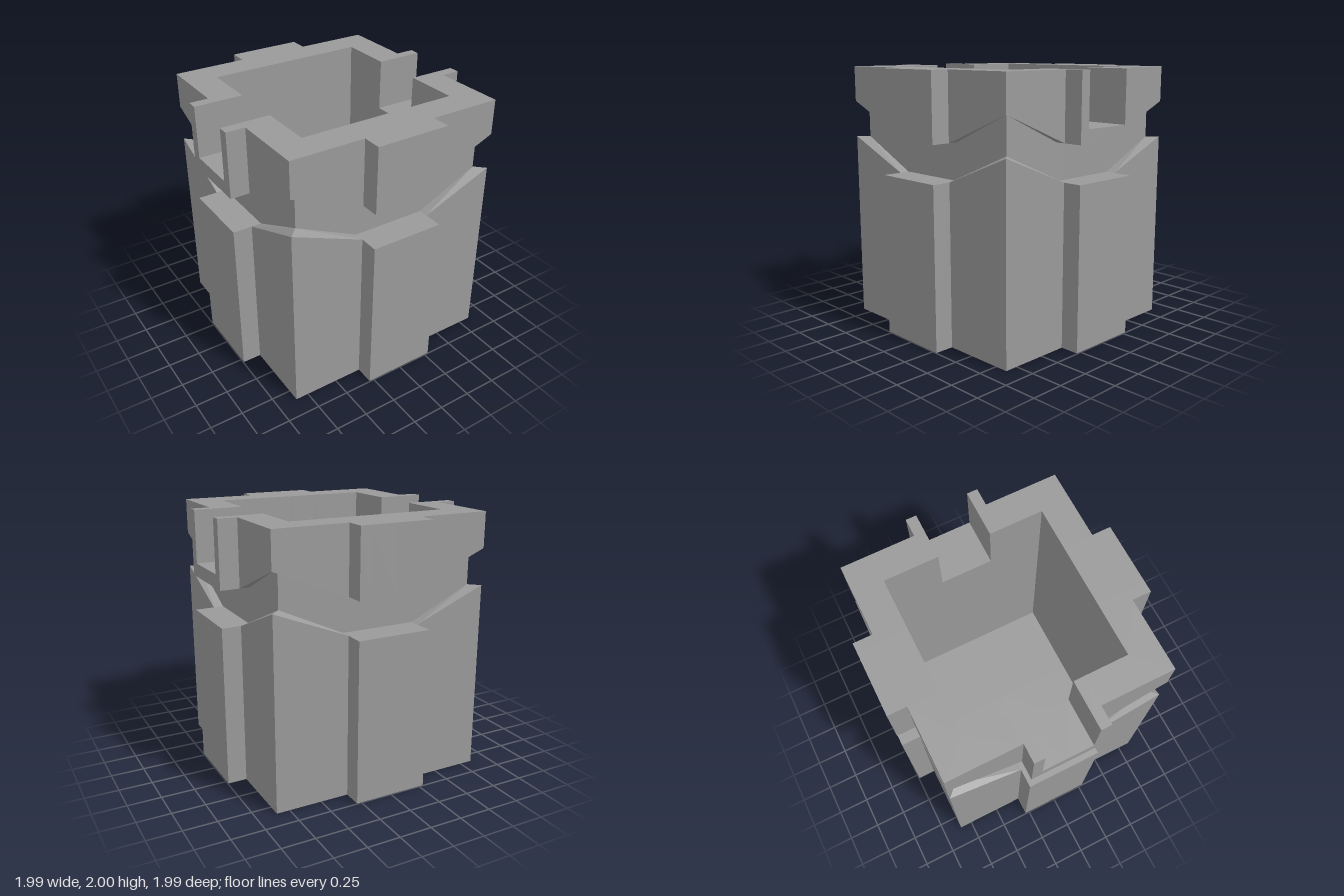
import * as THREE from 'three';

const P = 0.995;          // outer face of the ribs
const W = 0.85;           // main wall
const C = 0.775;          // recessed neck
const I = 0.62;           // cavity wall
const A = 0.285;          // rib half width
const N = 0.203;          // notch half width
const L = 1.222, LC = 1.45;   // lower body top: at ribs, at corners
const U = 1.497, UC = 1.73;   // collar underside: at ribs, at corners
const T = 2, F = 0.23;        // rim height, cavity floor

// Each function lists the faces of half a side (x >= 0, facing +z); h is the notch floor height.
const parts = {
  lowerBody: () => [
    [[0, 0, P], [A, 0, P], [A, L, P], [0, L, P]],        // rib front
    [[A, 0, P], [A, 0, W], [A, L, W], [A, L, P]],        // rib flank
    [[A, 0, W], [W, 0, W], [W, LC, W], [A, L, W]],       // wall
    [[0, L, P], [A, L, P], [A, L, C], [0, L, C]],        // ledge over the rib
    [[A, L, W], [W, LC, W], [C, LC, C], [A, L, C]],      // rising ledge
    [[0, 0, 0], [W, 0, W], [0, 0, W]],                   // base
    [[0, 0, W], [A, 0, W], [A, 0, P], [0, 0, P]],
  ],
  neck: () => [
    [[0, L, C], [A, L, C], [A, U, C], [0, U, C]],
    [[A, L, C], [C, LC, C], [C, UC, C], [A, U, C]],
  ],
  collar: (h) => [
    [[0, U, C], [A, U, C], [A, U, P], [0, U, P]],        // underside
    [[A, U, C], [C, UC, C], [W, UC, W], [A, U, W]],
    [[A, U, W], [W, UC, W], [W, T, W], [A, T, W]],       // wall
    [[A, U, P], [A, U, W], [A, T, W], [A, T, P]],        // rib flank
    [[0, U, P], [N, U, P], [N, h, P], [0, h, P]],        // rib front around the notch
    [[N, U, P], [A, U, P], [A, T, P], [N, T, P]],
    [[0, h, P], [N, h, P], [N, h, I], [0, h, I]],        // notch floor, or rim
    [[N, T, P], [A, T, P], [A, T, I], [N, T, I]],        // rim
    [[A, T, W], [W, T, W], [I, T, I], [A, T, I]],
    ...(h < T ? [[[N, h, I], [N, h, P], [N, T, P], [N, T, I]]] : []),  // notch wall
  ],
  cavity: (h) => [
    [[N, F, I], [0, F, I], [0, h, I], [N, h, I]],
    [[I, F, I], [N, F, I], [N, T, I], [I, T, I]],
    [[0, F, 0], [0, F, I], [I, F, I]],                   // floor
  ],
};

// Mirrors the half side and turns it round the four sides.
function buildPart(faces) {
  const pos = [];
  const up = new THREE.Vector3(0, 1, 0);
  for (let side = 0; side < 4; side++) {
    const notchFloor = side % 2 ? 1.6 : T;
    for (const face of faces(notchFloor)) {
      const mirrored = face.map(([x, y, z]) => [-x, y, z]);
      // Reversed after the first corner, so both halves split along matching diagonals.
      const flipped = [mirrored[0], ...mirrored.slice(1).reverse()];
      for (const poly of [face, flipped]) {
        const v = poly.map((p) => new THREE.Vector3(...p).applyAxisAngle(up, side * Math.PI / 2));
        for (let k = 1; k < v.length - 1; k++) {
          for (const q of [v[0], v[k], v[k + 1]]) pos.push(q.x, q.y, q.z);
        }
      }
    }
  }
  const geo = new THREE.BufferGeometry();
  geo.setAttribute('position', new THREE.Float32BufferAttribute(pos, 3));
  geo.computeVertexNormals();
  return geo;
}

export function createModel() {
  const group = new THREE.Group();
  const material = new THREE.MeshStandardMaterial({ color: 0x9a9a9a, flatShading: true });
  for (const [name, faces] of Object.entries(parts)) {
    const mesh = new THREE.Mesh(buildPart(faces), material);
    mesh.name = name;
    group.add(mesh);
  }
  return group;
}
